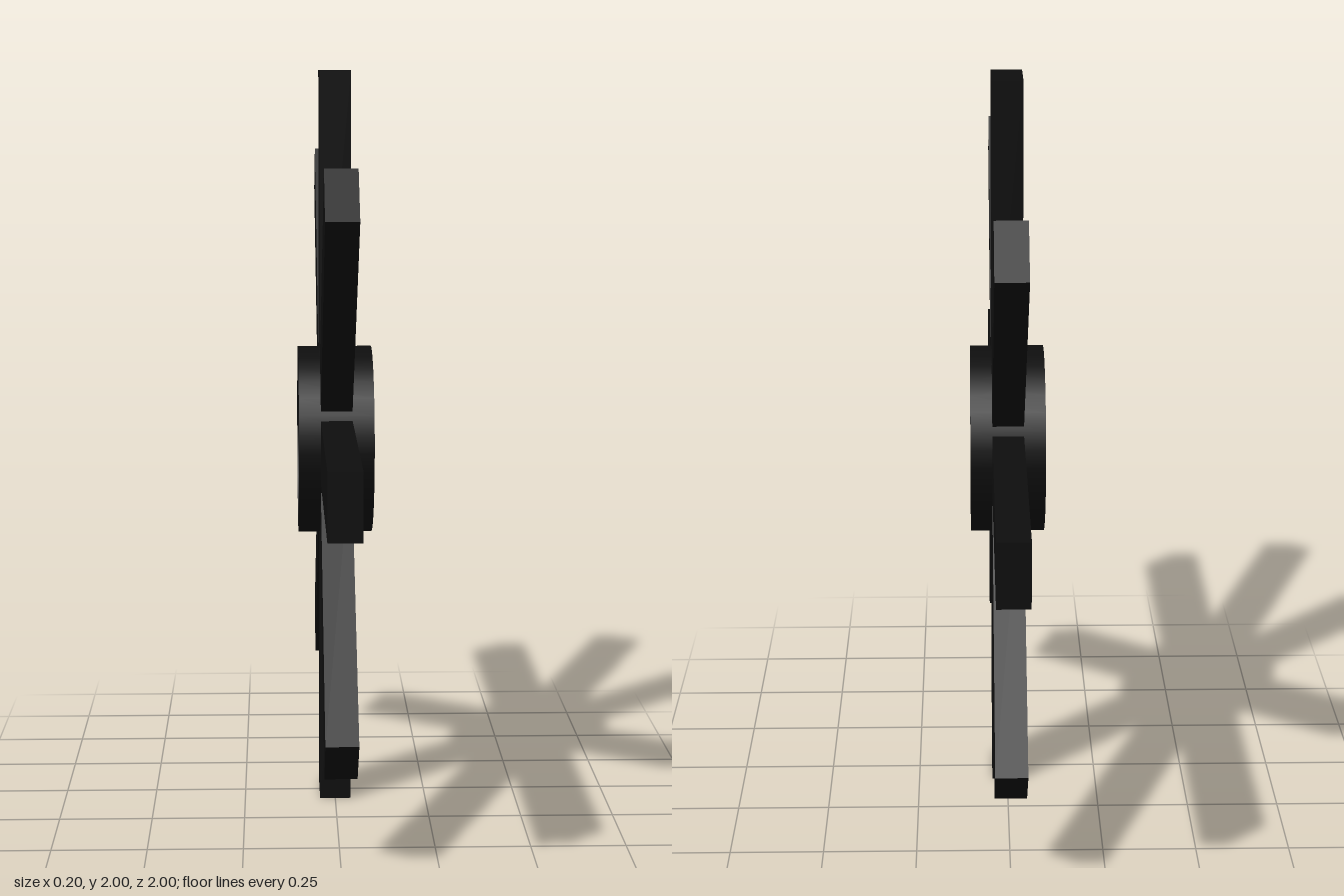
import * as THREE from 'three';

export function createModel() {
  const model = new THREE.Group();
  model.name = 'spokedWheel';
  const black = new THREE.MeshStandardMaterial({ color: 0x0e0e0e, side: THREE.DoubleSide });
  black.name = 'black';

  const centre = new THREE.Group();
  centre.name = 'wheel';
  centre.position.y = 1;
  model.add(centre);

  const add = (name, geometry) => {
    const mesh = new THREE.Mesh(geometry, black);
    mesh.name = name;
    centre.add(mesh);
    return mesh;
  };

  // Eight flat bars radiating in the y-z plane
  const bar = new THREE.BoxGeometry(0.084, 0.9, 0.17).translate(0, 0.55, 0);
  for (let i = 0; i < 8; i++) add('spoke', bar).rotation.x = (i * Math.PI) / 4;

  // Hub: thin open collar around a recessed drum
  const radius = 0.255;
  add('hubCollar', new THREE.CylinderGeometry(radius, radius, 0.2, 32, 1, true).rotateZ(Math.PI / 2));
  add('hubDrum', new THREE.CylinderGeometry(radius - 0.002, radius - 0.002, 0.106, 32).rotateZ(Math.PI / 2));

  return model;
}
